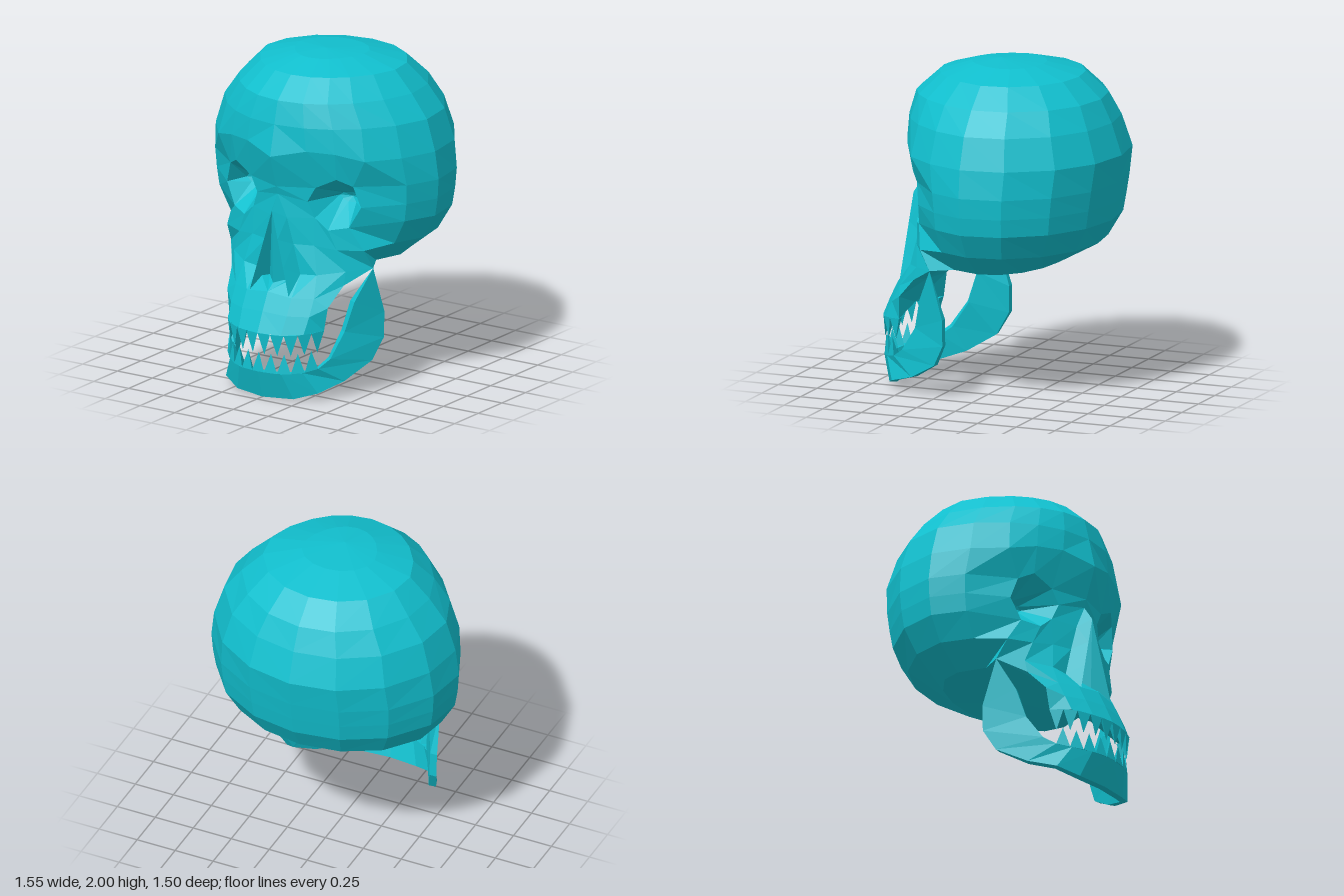
import * as THREE from 'three';

const V = (x, y, z) => new THREE.Vector3(x, y, z);
const toPoints = (list) => list.map((p) => V(...p));
const flip = (p) => V(-p.x, p.y, p.z);
const material = new THREE.MeshStandardMaterial({ color: 0x11bfce, flatShading: true, side: THREE.DoubleSide });

// Facets from a flat list of corners, optionally mirrored across x = 0.
function facetMesh(name, corners, mirror = true) {
  const all = [...corners];
  if (mirror) {
    for (let i = 0; i < corners.length; i += 3) {
      all.push(flip(corners[i]), flip(corners[i + 2]), flip(corners[i + 1]));
    }
  }
  const geometry = new THREE.BufferGeometry().setFromPoints(all);
  geometry.computeVertexNormals();
  const mesh = new THREE.Mesh(geometry, material);
  mesh.name = name;
  return mesh;
}

// Quads between neighbouring rows; rows run downwards, columns from the front round to the side.
function loft(rows, skip = () => false) {
  const out = [];
  for (let i = 0; i < rows.length - 1; i++) {
    for (let j = 0; j < rows[i].length - 1; j++) {
      if (skip(i, j)) continue;
      const [a, b, c, d] = [rows[i][j], rows[i][j + 1], rows[i + 1][j + 1], rows[i + 1][j]];
      if (c.distanceTo(d) > 1e-4) out.push(a, d, c);
      if (a.distanceTo(b) > 1e-4) out.push(a, c, b);
    }
  }
  return out;
}

// Half of an egg-shaped horizontal section, with optional hand-placed front points.
const ANGLES = [0, 16, 30, 44, 62, 85, 110, 135, 158, 180];
function section(y, w, zFront, zBack, front = []) {
  const mid = -0.06;
  return ANGLES.map((deg, j) => {
    if (front[j]) return V(...front[j]);
    const a = THREE.MathUtils.degToRad(deg);
    const c = Math.cos(a);
    const z = c > 0 ? mid + (zFront - mid) * c ** 1.25 : mid + (mid - zBack) * c;
    return V(deg === 180 ? 0 : w * Math.sin(a), y, z);
  });
}

// A row of pointed teeth along a curve.
function teeth(name, curve, count, length) {
  const base = curve.getSpacedPoints(count);
  const out = [];
  for (let i = 0; i < count; i++) {
    const a = base[i], b = base[i + 1];
    const mid = a.clone().lerp(b, 0.5);
    const tip = mid.clone().add(V(0, length, 0));
    const back = mid.clone().add(V(mid.x, 0, mid.z - 0.3).setLength(0.05).negate());
    tip.lerp(V(back.x, tip.y, back.z), 0.2);
    out.push(a, tip, b, b, tip, back, back, tip, a, a, b, back);
  }
  return facetMesh(name, out, false);
}

const mirroredCurve = (points) =>
  new THREE.CatmullRomCurve3([...points.slice(1).reverse().map(flip), ...points]);

export function createModel() {
  const group = new THREE.Group();

  // Cranium and upper face
  const rows = [
    ANGLES.map(() => V(0, 2, 0.02)),
    section(1.983, 0.23, 0.2, -0.25),
    section(1.925, 0.46, 0.39, -0.48),
    section(1.8, 0.585, 0.53, -0.62),
    section(1.66, 0.695, 0.565, -0.69),
    section(1.47, 0.755, 0.61, -0.755, [null, [0.21, 1.52, 0.54], [0.37, 1.51, 0.47]]),
    section(1.3, 0.778, 0.55, -0.73, [[0, 1.27, 0.545], [0.23, 1.28, 0.47], [0.36, 1.345, 0.44], [0.44, 1.3, 0.38]]),
    section(1.18, 0.77, 0.53, -0.71, [[0, 1.22, 0.53], [0.18, 1.19, 0.48], [0.34, 1.18, 0.4], [0.48, 1.17, 0.355]]),
    section(1.07, 0.752, 0.52, -0.69, [[0.06, 1.08, 0.52], [0.22, 1.09, 0.46], [0.3, 1.02, 0.44], [0.41, 1.04, 0.38]]),
    section(0.92, 0.665, 0.5, -0.6, [[0.1, 0.92, 0.51], [0.22, 0.92, 0.47], [0.35, 0.9, 0.42], [0.49, 0.9, 0.34]]),
    section(0.785, 0.5, 0.45, -0.35, [[0.15, 0.74, 0.51], [0.26, 0.75, 0.5], [0.4, 0.77, 0.4], [0.51, 0.78, 0.27]]),
  ];
  const inSocket = (i, j) => (i === 6 || i === 7) && (j === 1 || j === 2);
  const cheek = rows[10];
  const baseCentre = V(0, 0.735, 0.05);
  const cranium = loft(rows, inSocket);
  for (let j = 3; j < ANGLES.length - 1; j++) cranium.push(cheek[j], baseCentre, cheek[j + 1]);
  group.add(facetMesh('cranium', cranium));

  // Eye sockets: a ring on the face drawn back to a narrow slot
  const [top, middle, bottom] = rows.slice(6, 9);
  const rim = [top[1], top[2], top[3], middle[3], bottom[3], bottom[2], bottom[1], middle[1]];
  const inner = rim.map((p) => V(0.34 + (p.x - 0.34) * 0.5, 1.19 + (p.y - 1.19) * 0.2, 0.25));
  const socketBack = V(0.34, 1.19, 0.23);
  const socket = [];
  rim.forEach((a, i) => {
    const k = (i + 1) % rim.length;
    socket.push(a, inner[i], inner[k], a, inner[k], rim[k], inner[i], socketBack, inner[k]);
  });
  group.add(facetMesh('eyeSockets', socket));

  // Upper jaw
  const maxilla = [
    cheek.slice(0, 4),
    toPoints([[0, 0.64, 0.635], [0.16, 0.62, 0.62], [0.28, 0.62, 0.56], [0.4, 0.69, 0.42]]),
    toPoints([[0, 0.53, 0.69], [0.16, 0.52, 0.67], [0.28, 0.52, 0.61], [0.36, 0.57, 0.53]]),
    toPoints([[0, 0.41, 0.745], [0.15, 0.41, 0.72], [0.27, 0.42, 0.655], [0.34, 0.43, 0.54]]),
  ];
  group.add(facetMesh('upperJaw', loft(maxilla)));

  // Palate closing the upper jaw from behind and below
  const spine = [baseCentre, V(0, 0.71, 0.36), V(0, 0.61, 0.5), V(0, 0.46, 0.58)];
  const palate = loft(maxilla.map((row, i) => [row[3], spine[i]]));
  const gum = maxilla[3];
  for (let j = 0; j < 3; j++) palate.push(spine[3], gum[j + 1], gum[j]);
  group.add(facetMesh('palate', palate));

  // Nose: raised wings around a folded cavity
  const bridge = V(0, 1.13, 0.59), wing = V(0.14, 0.62, 0.62);
  const valley = V(0.075, 0.7, 0.5), septum = V(0, 0.68, 0.58);
  const nose = [];
  for (let i = 7; i < 10; i++) nose.push(rows[i][0], i === 7 ? bridge : bridge.clone().lerp(wing, (i - 7) / 3),
    rows[i + 1][0]);
  for (let i = 8; i < 11; i++) nose.push(rows[i][0], bridge.clone().lerp(wing, (i - 8) / 3),
    bridge.clone().lerp(wing, (i - 7) / 3));
  nose.push(bridge, valley, wing, bridge, septum, valley, wing, valley, cheek[0]);
  nose.push(valley, maxilla[1][0], cheek[0], septum, maxilla[1][0], valley);
  group.add(facetMesh('nose', nose));

  // Lower jaw: upper and lower edges from the chin round to the hinge
  const hinge = [0.51, 0.78, 0.27];
  const upper = toPoints([[0, 0.17, 0.74], [0.15, 0.17, 0.715], [0.26, 0.18, 0.65], [0.325, 0.2, 0.58],
    [0.365, 0.25, 0.51], [0.4, 0.4, 0.41], [0.44, 0.58, 0.365], hinge]);
  const lower = toPoints([[0, 0, 0.69], [0.2, 0.01, 0.66], [0.33, 0.05, 0.59], [0.41, 0.1, 0.43],
    [0.49, 0.2, 0.25], [0.525, 0.33, 0.18], [0.53, 0.49, 0.18], hinge]);
  const inset = (p, i, list) => {
    const thickness = i === list.length - 1 ? 0 : 0.045;
    return p.clone().sub(V(p.x, 0, p.z - 0.18).normalize().multiplyScalar(thickness));
  };
  const innerUpper = upper.map(inset), innerLower = lower.map(inset);
  group.add(facetMesh('lowerJaw', loft([upper, lower, innerLower, innerUpper, upper])));

  // Teeth
  group.add(teeth('upperTeeth', mirroredCurve(gum), 10, -0.13));
  group.add(teeth('lowerTeeth', mirroredCurve(upper.slice(0, 4)), 9, 0.12));

  return group;
}
